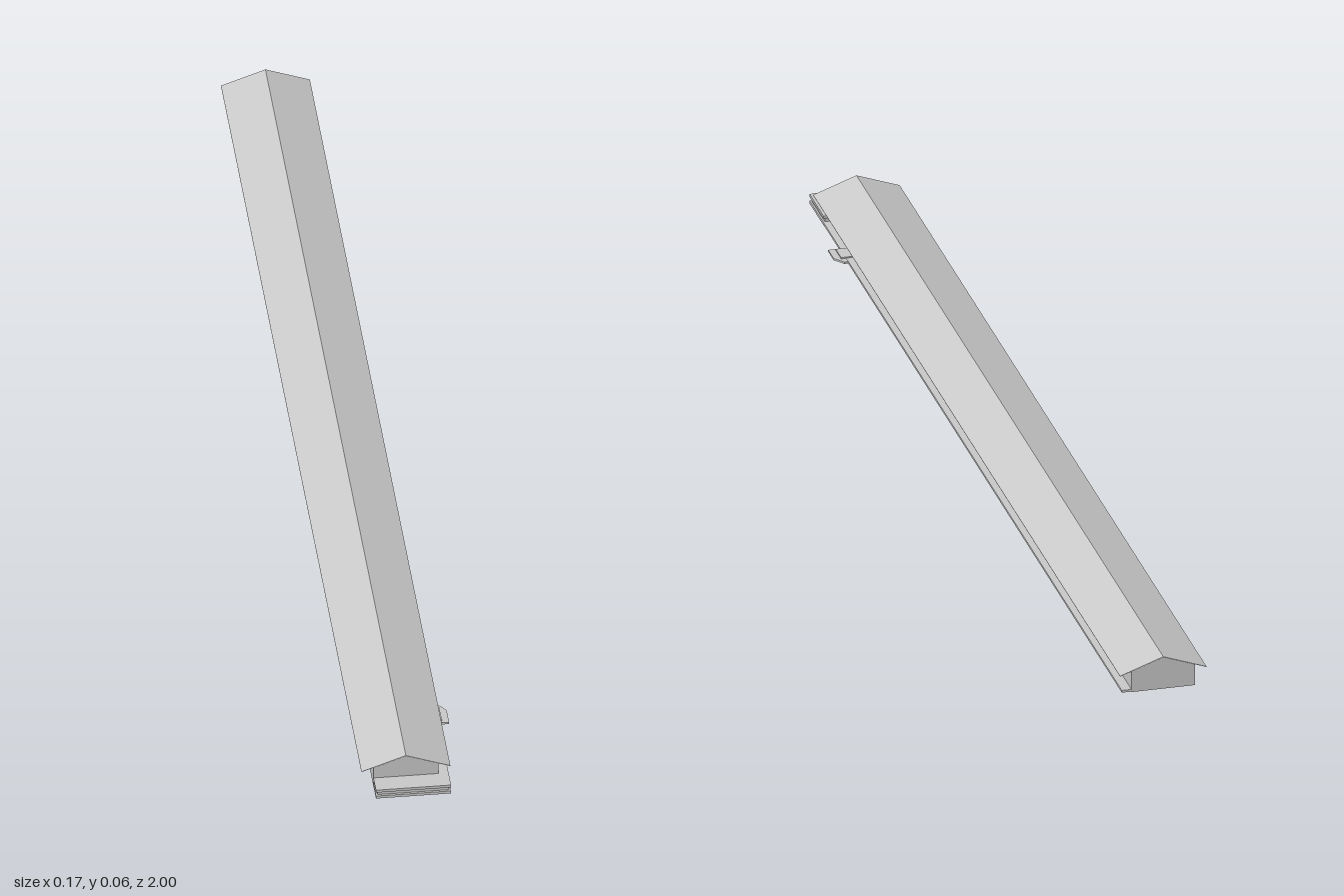
import * as THREE from 'three';

const grey = new THREE.MeshStandardMaterial({ color: 0xcccccc, flatShading: true, side: THREE.DoubleSide });

function add(parent, name, geometry) {
  const mesh = new THREE.Mesh(geometry, grey);
  mesh.name = name;
  parent.add(mesh);
  return mesh;
}

// Box given by its minimum and maximum corners
function slab(parent, name, [x0, y0, z0], [x1, y1, z1]) {
  const g = new THREE.BoxGeometry(x1 - x0, y1 - y0, z1 - z0);
  g.translate((x0 + x1) / 2, (y0 + y1) / 2, (z0 + z1) / 2);
  return add(parent, name, g);
}

function extrude(points, depth) {
  const shape = new THREE.Shape(points.map(([x, y]) => new THREE.Vector2(x, y)));
  return new THREE.ExtrudeGeometry(shape, { depth, bevelEnabled: false });
}

export function createModel() {
  const model = new THREE.Group();
  model.name = 'longHall';
  const back = -1, front = 0.965;
  const left = -0.0625, right = 0.046, ridgeX = -0.0085, ridgeY = 0.058;

  // Long hall with gabled ends
  const hall = extrude([
    [left, 0], [right, 0], [right, 0.0375], [ridgeX, ridgeY - 0.001], [left, 0.0375],
  ], front - back);
  hall.translate(0, 0, back);
  add(model, 'hallWalls', hall);

  // Thin roof sheets with overhanging eaves
  const t = 0.0008;
  for (const [name, eaveX] of [['roofWest', -0.0825], ['roofEast', 0.0655]]) {
    const sheet = extrude([
      [eaveX, 0.0305], [ridgeX, ridgeY - t], [ridgeX, ridgeY], [eaveX, 0.0305 + t],
    ], front - back);
    sheet.translate(0, 0, back);
    add(model, name, sheet);
  }

  // Low walkway under the side eaves
  slab(model, 'walkway', [right, 0.001, back], [0.0625, 0.005, 0.91]);

  // Front porch: base, recessed course and top slab
  const porch = new THREE.Group();
  porch.name = 'porch';
  model.add(porch);
  slab(porch, 'porchBase', [left, 0, 0.91], [0.0625, 0.005, 1]);
  slab(porch, 'porchCourse', [left + 0.003, 0.005, 0.913], [0.0595, 0.012, 0.996]);
  slab(porch, 'porchTop', [left, 0.012, 0.91], [0.0625, 0.017, 1]);

  // Side entrance steps, the lower one with a clipped corner
  const steps = new THREE.Group();
  steps.name = 'sideSteps';
  model.add(steps);
  const lower = extrude([
    [0.046, -0.805], [0.0825, -0.805], [0.0825, -0.77], [0.069, -0.752], [0.046, -0.752],
  ], 0.0035);
  lower.rotateX(-Math.PI / 2);
  lower.translate(0, 0.001, 0);
  add(steps, 'lowerStep', lower);
  slab(steps, 'upperStep', [0.046, 0.0035, 0.765], [0.071, 0.007, 0.8]);

  return model;
}
